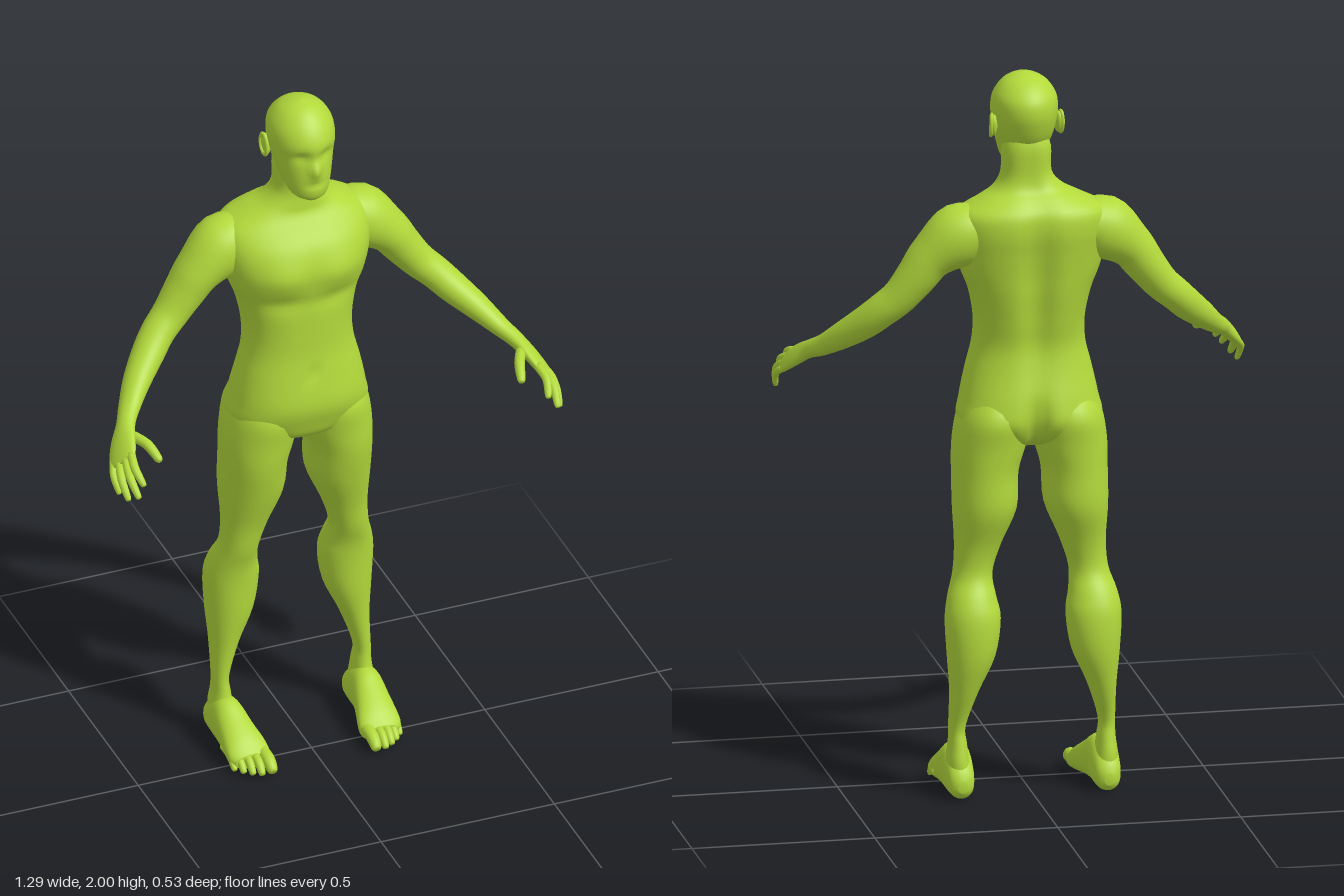
import * as THREE from 'three';

const skin = new THREE.MeshStandardMaterial({ color: 0xb2d93b });
skin.name = 'lime skin';

const bump = (d, w) => Math.exp(-(d * d) / (w * w));

// Catmull-Rom resampling of every column of a section table
function smooth(rows, steps = 4) {
  const out = [];
  const at = i => rows[Math.max(0, Math.min(rows.length - 1, i))];
  for (let i = 0; i < rows.length - 1; i++) {
    for (let s = 0; s < steps; s++) {
      const t = s / steps;
      out.push(rows[i].map((_, k) => {
        const [a, b, c, d] = [at(i - 1)[k], at(i)[k], at(i + 1)[k], at(i + 2)[k]];
        return b + 0.5 * t * (c - a + t * (2 * a - 5 * b + 4 * c - d + t * (3 * (b - c) + d - a)));
      }));
    }
  }
  out.push(rows[rows.length - 1]);
  return out;
}

// Closed skin over a stack of rings; side = -1 mirrors it in x
function loft(name, rings, side = 1) {
  const n = rings[0].length, pos = [], idx = [];
  const put = p => pos.push(p.x * side, p.y, p.z);
  const tri = (a, b, c) => (side > 0 ? idx.push(a, b, c) : idx.push(a, c, b));
  const middle = ring => ring.reduce((s, p) => s.add(p), new THREE.Vector3()).divideScalar(n);
  rings.forEach(ring => ring.forEach(put));
  put(middle(rings[0]));
  put(middle(rings[rings.length - 1]));
  const first = rings.length * n, top = (rings.length - 1) * n;
  for (let j = 0; j < n; j++) {
    const k = (j + 1) % n;
    for (let i = 0; i < rings.length - 1; i++) {
      const a = i * n, b = a + n;
      tri(a + j, a + k, b + k);
      tri(a + j, b + k, b + j);
    }
    tri(first, k, j);
    tri(first + 1, top + j, top + k);
  }
  const geo = new THREE.BufferGeometry();
  geo.setAttribute('position', new THREE.Float32BufferAttribute(pos, 3));
  geo.setIndex(idx);
  geo.computeVertexNormals();
  const mesh = new THREE.Mesh(geo, skin);
  mesh.name = name;
  return mesh;
}

const power = (v, p) => Math.sign(v) * Math.abs(v) ** p;
const circle = (n, f) => Array.from({ length: n }, (_, j) => f(j / n * Math.PI * 2));

// Rows of [y, centre x, half width, front z, back z], from the bottom up
function upright(rows, n, p = 1, shape = () => 0) {
  return smooth(rows).map(([y, cx, rx, zf, zb]) => circle(n, a => {
    const x = cx + rx * power(Math.sin(a), p);
    const z = (zf + zb) / 2 + (zf - zb) / 2 * power(Math.cos(a), p);
    return new THREE.Vector3(x, y, z + shape(x - cx, y, Math.cos(a)));
  }));
}

// Rows of [z, centre x, half width, bottom y, top y], from back to front
function lengthwise(rows, n) {
  return smooth(rows).map(([z, cx, rx, y0, y1]) => circle(n, a => new THREE.Vector3(
    cx + rx * Math.cos(a), (y0 + y1) / 2 + (y1 - y0) / 2 * power(Math.sin(a), 0.8), z)));
}

// Rows of [x, y, z, radius along up, radius across], following any path
function limb(rows, n, up) {
  const path = smooth(rows);
  const point = i => new THREE.Vector3(...path[Math.max(0, Math.min(path.length - 1, i))].slice(0, 3));
  return path.map((r, i) => {
    const t = point(i + 1).sub(point(i - 1)).normalize();
    const u = up.clone().addScaledVector(t, -up.dot(t)).normalize();
    const v = t.clone().cross(u);
    return circle(n, a => point(i).addScaledVector(u, r[3] * Math.cos(a)).addScaledVector(v, r[4] * Math.sin(a)));
  });
}

// Finger or toe with a rounded tip
function digit(from, mid, to, r, up) {
  const end = to.map((v, i) => v - (v - mid[i]) * 0.12);
  return limb([[...from, r, r], [...mid, r, r], [...end, r * 0.75, r * 0.75], [...to, r * 0.15, r * 0.15]], 10, up);
}

function makeTorso() {
  const rows = [
    [0.965, 0, 0.03, -0.08, -0.16], [0.99, 0, 0.12, -0.01, -0.215], [1.04, 0, 0.193, 0.015, -0.25],
    [1.1, 0, 0.187, 0.03, -0.245], [1.18, 0, 0.17, 0.02, -0.225], [1.25, 0, 0.153, 0.01, -0.217],
    [1.32, 0, 0.15, 0.008, -0.23], [1.4, 0, 0.165, 0.008, -0.245], [1.46, 0, 0.188, 0.012, -0.252],
    [1.52, 0, 0.203, 0.015, -0.26], [1.58, 0, 0.21, 0, -0.268], [1.63, 0, 0.2, -0.035, -0.262],
    [1.665, 0.003, 0.14, -0.06, -0.235], [1.69, 0.007, 0.095, -0.066, -0.21],
    [1.73, 0.012, 0.068, -0.07, -0.2], [1.8, 0.012, 0.066, -0.07, -0.2], [1.84, 0.012, 0.05, -0.08, -0.19],
  ];
  // Spine groove, seat cleft, chest muscles and navel
  return loft('torso', upright(rows, 64, 0.85, (x, y, c) => c < 0
    ? -c * (0.028 * bump(x, 0.04) * bump(y - 1.42, 0.22) + 0.04 * bump(x, 0.025) * bump(y - 1.03, 0.07))
    : c * (0.014 * bump(Math.abs(x) - 0.085, 0.07) * bump(y - 1.51, 0.05)
      - 0.01 * bump(y - 1.425, 0.025) * bump(Math.abs(x) - 0.08, 0.08)
      - 0.008 * bump(x, 0.014) * bump(y - 1.2, 0.02))));
}

function makeHead() {
  const group = new THREE.Group();
  group.name = 'head';
  const cx = 0.013;
  const rows = [
    [1.735, cx, 0.025, -0.015, -0.075], [1.75, cx, 0.05, -0.002, -0.11], [1.78, cx, 0.064, 0.003, -0.155],
    [1.82, cx, 0.076, 0, -0.195], [1.86, cx, 0.085, -0.005, -0.215], [1.9, cx, 0.09, 0, -0.225],
    [1.94, cx, 0.085, -0.015, -0.218], [1.975, cx, 0.062, -0.045, -0.185], [1.993, cx, 0.032, -0.075, -0.147],
    [2, cx, 0.004, -0.107, -0.115],
  ];
  // Nose, eye sockets and mouth line
  group.add(loft('skull', upright(rows, 48, 1, (x, y, c) => c <= 0 ? 0 : c * (
    0.02 * bump(x, 0.014) * bump(y - 1.838, 0.024)
    - 0.012 * bump(Math.abs(x) - 0.035, 0.02) * bump(y - 1.875, 0.016)
    - 0.006 * bump(x, 0.03) * bump(y - 1.79, 0.008)))));
  for (const s of [1, -1]) {
    const ear = new THREE.Group();
    ear.name = s > 0 ? 'leftEar' : 'rightEar';
    const lobe = new THREE.Mesh(new THREE.SphereGeometry(1, 16, 12), skin);
    lobe.name = 'earBody';
    lobe.scale.set(0.01, 0.031, 0.018);
    const rim = new THREE.Mesh(new THREE.TorusGeometry(0.02, 0.005, 8, 24), skin);
    rim.name = 'earRim';
    rim.rotation.y = Math.PI / 2;
    rim.scale.set(0.85, 1.45, 1);
    rim.position.x = s * 0.007;
    ear.add(lobe, rim);
    ear.position.set(cx + s * 0.088, 1.862, -0.14);
    ear.rotation.set(-0.2, -s * 0.2, 0);
    group.add(ear);
  }
  return group;
}

function makeArm(side) {
  const group = new THREE.Group();
  group.name = side > 0 ? 'leftArm' : 'rightArm';
  const up = new THREE.Vector3(0.7, 0.7, 0);
  // Shoulder to palm
  group.add(loft('armAndPalm', limb([
    [0.1, 1.6, -0.155, 0.04, 0.06], [0.19, 1.568, -0.15, 0.086, 0.083], [0.269, 1.509, -0.14, 0.063, 0.071],
    [0.31, 1.455, -0.137, 0.055, 0.062], [0.356, 1.396, -0.128, 0.048, 0.052], [0.4, 1.355, -0.11, 0.045, 0.049],
    [0.44, 1.315, -0.08, 0.043, 0.047], [0.49, 1.27, -0.033, 0.036, 0.041], [0.533, 1.23, 0.02, 0.027, 0.033],
    [0.562, 1.207, 0.065, 0.022, 0.029], [0.585, 1.182, 0.105, 0.019, 0.041], [0.605, 1.155, 0.148, 0.015, 0.045],
    [0.611, 1.147, 0.163, 0.008, 0.034]], 32, up), side));
  // Fingers from index to little, spread across the knuckles
  const tips = [[0.583, 1.125, 0.252], [0.604, 1.1, 0.268], [0.622, 1.08, 0.238], [0.63, 1.074, 0.19]];
  tips.forEach((tip, i) => {
    const k = 0.033 - i * 0.022;
    const base = [0.604 - 0.56 * k, 1.157 + 0.55 * k, 0.145 + 0.56 * k];
    const mid = base.map((v, j) => (v + tip[j]) / 2 + [0.009, 0.009, 0.003][j]);
    group.add(loft('finger' + (i + 1), digit(base, mid, tip, i === 3 ? 0.01 : 0.0118, up), side));
  });
  group.add(loft('thumb', digit([0.568, 1.196, 0.095], [0.538, 1.192, 0.155], [0.521, 1.167, 0.213], 0.0145, up), side));
  return group;
}

function makeLeg(side) {
  const group = new THREE.Group();
  group.name = side > 0 ? 'leftLeg' : 'rightLeg';
  // Ankle to hip
  group.add(loft('thighAndShin', upright([
    [0.04, 0.198, 0.034, -0.11, -0.2], [0.1, 0.203, 0.031, -0.1, -0.2], [0.15, 0.203, 0.025, -0.11, -0.19],
    [0.2, 0.204, 0.023, -0.115, -0.186], [0.3, 0.188, 0.039, -0.11, -0.22], [0.4, 0.17, 0.065, -0.1, -0.245],
    [0.5, 0.165, 0.075, -0.095, -0.245], [0.56, 0.165, 0.065, -0.087, -0.225], [0.62, 0.158, 0.053, -0.07, -0.193],
    [0.7, 0.143, 0.063, -0.055, -0.2], [0.8, 0.125, 0.086, -0.025, -0.233], [0.9, 0.122, 0.089, -0.003, -0.235],
    [0.98, 0.11, 0.099, 0.004, -0.24], [1.06, 0.1, 0.094, 0.008, -0.246], [1.13, 0.1, 0.06, -0.03, -0.2]],
  36, 0.95), side));
  group.add(loft('foot', lengthwise([
    [-0.215, 0.2, 0.012, 0.025, 0.055], [-0.198, 0.2, 0.033, 0.006, 0.09], [-0.15, 0.2, 0.04, 0, 0.13],
    [-0.1, 0.2, 0.044, 0.002, 0.142], [-0.05, 0.196, 0.05, 0.004, 0.115], [0, 0.191, 0.058, 0.001, 0.085],
    [0.028, 0.189, 0.058, 0.002, 0.062], [0.045, 0.187, 0.046, 0.008, 0.048]], 32), side));
  // Toes from big to little: [x, tip z, radius]
  const up = new THREE.Vector3(0, 1, 0);
  [[0.15, 0.1, 0.018], [0.178, 0.095, 0.0125], [0.2, 0.083, 0.012], [0.22, 0.066, 0.0115], [0.238, 0.045, 0.011]]
    .forEach(([x, z, r], i) => group.add(loft('toe' + (i + 1),
      digit([x, 0.038, z - 0.085], [x, 0.036, z - 0.035], [x, r * 0.9, z], r, up), side)));
  return group;
}

export function createModel() {
  const figure = new THREE.Group();
  figure.name = 'standingFigure';
  figure.add(makeTorso(), makeHead());
  for (const side of [1, -1]) figure.add(makeArm(side), makeLeg(side));
  return figure;
}
